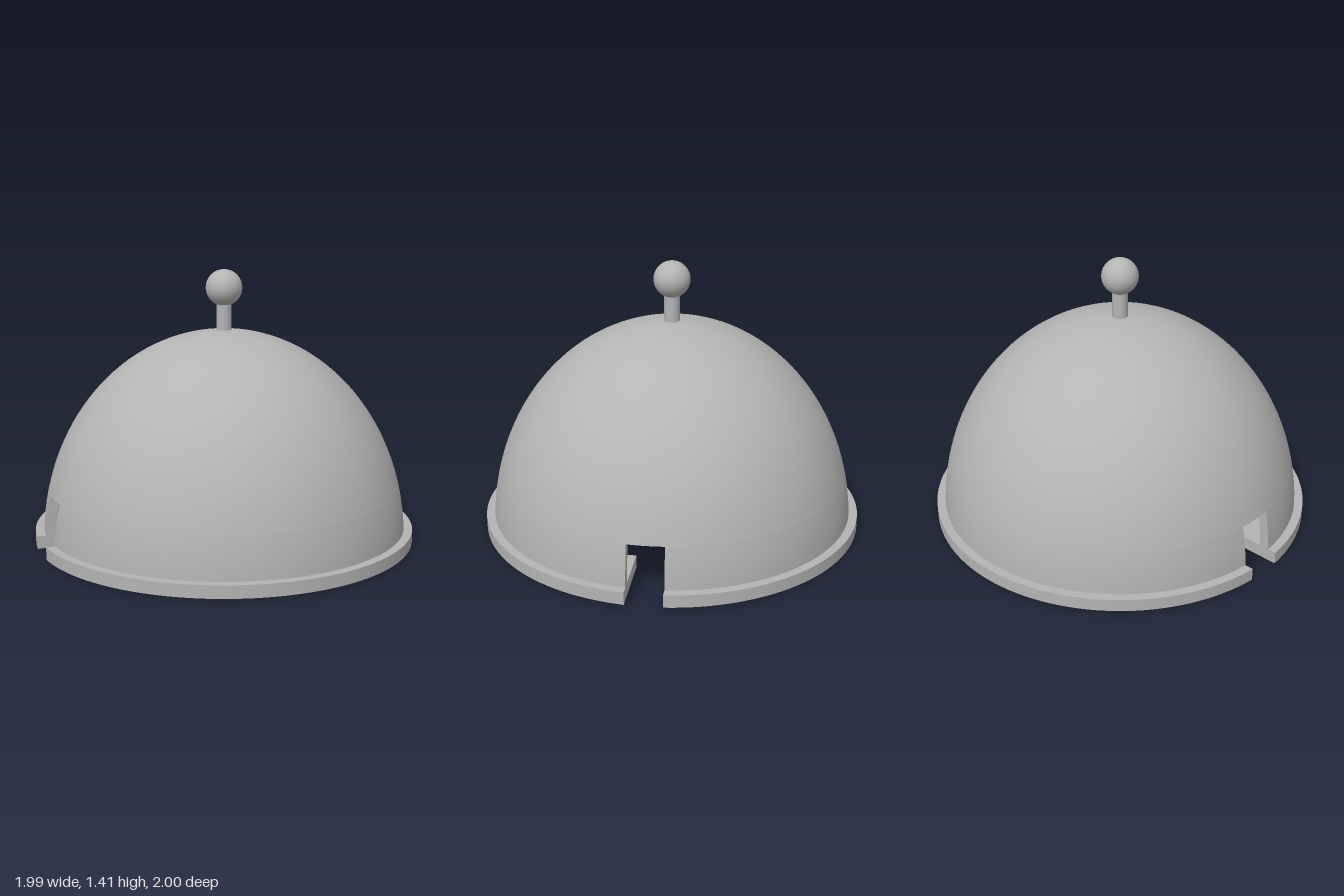
import * as THREE from 'three';
import { toCreasedNormals } from 'three/addons/utils/BufferGeometryUtils.js';

const NOTCH = 0.093;      // half width of the side notches
const NOTCH_TOP = 0.28;
const PLATE = 0.065;      // base plate thickness
const OUTER = { a: 0.957, b: 1.1 };
const INNER = { a: 0.905, b: 1.05 };

const v2 = (x, y) => new THREE.Vector2(x, y);

// points along an elliptical wall between two heights
function wall({ a, b }, y0, y1, n) {
  const t0 = Math.asin(y0 / b), t1 = Math.asin(Math.min(1, y1 / b));
  return Array.from({ length: n + 1 }, (_, i) => {
    const t = t0 + (t1 - t0) * i / n;
    return v2(Math.max(0, a * Math.cos(t)), b * Math.sin(t));
  });
}

// closed section: up the outside, down the inside
function section(y0, y1, n) {
  const pts = [...wall(OUTER, y0, y1, n), ...wall(INNER, y0, y1, n).reverse()];
  pts.push(pts[0].clone());
  return pts;
}

export function createModel() {
  const model = new THREE.Group();
  const grey = new THREE.MeshStandardMaterial({ color: 0xb4b4b4 });

  function add(name, geometry, parent = model) {
    const mesh = new THREE.Mesh(geometry, grey);
    mesh.name = name;
    parent.add(mesh);
    return mesh;
  }

  // dome above the notches
  add('domeUpper', toCreasedNormals(new THREE.LatheGeometry(section(NOTCH_TOP, 2, 28), 96), 0.6));

  // dome skirt: two halves with flat notch sides
  const skirt = section(PLATE - 0.01, NOTCH_TOP, 6);
  const gap = Math.asin(NOTCH / 0.93), segs = 48;
  const skirtGeo = new THREE.LatheGeometry(skirt, segs, -Math.PI / 2 + gap, Math.PI - 2 * gap);
  const pos = skirtGeo.attributes.position;
  const flatX = (r) => Math.sqrt(r * r - NOTCH * NOTCH);
  skirt.forEach((p, j) => {
    pos.setXYZ(j, -flatX(p.x), p.y, NOTCH);
    pos.setXYZ(segs * skirt.length + j, flatX(p.x), p.y, NOTCH);
  });
  const skirtSmooth = toCreasedNormals(skirtGeo, 0.6);
  for (const turn of [0, Math.PI]) {
    const half = new THREE.Group();
    half.name = turn ? 'domeSkirtBack' : 'domeSkirtFront';
    half.rotation.y = turn;
    add('skirtWall', skirtSmooth, half);
    for (const s of [1, -1]) {
      const cap = new THREE.ShapeGeometry(new THREE.Shape(skirt.slice(0, -1).map((p) => v2(s * flatX(p.x), p.y))));
      cap.rotateY(Math.PI).translate(0, 0, NOTCH);
      add('notchSide', cap, half);
    }
    model.add(half);
  }

  // base plate halves with stepped opening and screw holes
  const opening = [
    [-0.59, NOTCH], [-0.60, 0.24], [-0.56, 0.355], [-0.47, 0.365], [-0.37, 0.46], [-0.25, 0.64],
    [0.30, 0.64], [0.35, 0.585], [0.575, 0.593], [0.56, 0.43], [0.63, 0.35], [0.63, NOTCH],
  ];
  const bosses = [[0.745, 0.332], [-0.5, 0.5]];
  const a0 = Math.asin(NOTCH);
  const bossGeo = toCreasedNormals(new THREE.LatheGeometry([
    v2(0.132, PLATE - 0.005), v2(0.132, 0.13), v2(0.092, 0.13), v2(0.092, PLATE - 0.005), v2(0.132, PLATE - 0.005),
  ], 40), 0.6);
  for (const s of [1, -1]) {
    const outline = [];
    for (let i = 0; i <= 64; i++) {
      const t = a0 + (Math.PI - 2 * a0) * i / 64;
      outline.push(v2(Math.cos(t), s * Math.sin(t)));
    }
    opening.forEach(([x, z]) => outline.push(v2(x, s * z)));
    const shape = new THREE.Shape(outline);
    for (const [x, z] of bosses) {
      shape.holes.push(new THREE.Path().absarc(x, s * z, 0.092, 0, Math.PI * 2));
      // raised collar around each screw hole
      add('screwBoss', bossGeo).position.set(x, 0, -s * z);
    }
    const plate = new THREE.ExtrudeGeometry(shape, { depth: PLATE, bevelEnabled: false, curveSegments: 20 });
    plate.rotateX(-Math.PI / 2);
    add(s > 0 ? 'basePlateBack' : 'basePlateFront', toCreasedNormals(plate, 0.4));
  }

  // stem and ball knob
  add('knobStem', new THREE.CylinderGeometry(0.04, 0.04, 0.18, 32)).position.y = 1.165;
  add('knobBall', new THREE.SphereGeometry(0.095, 40, 28)).position.y = 1.318;

  return model;
}
